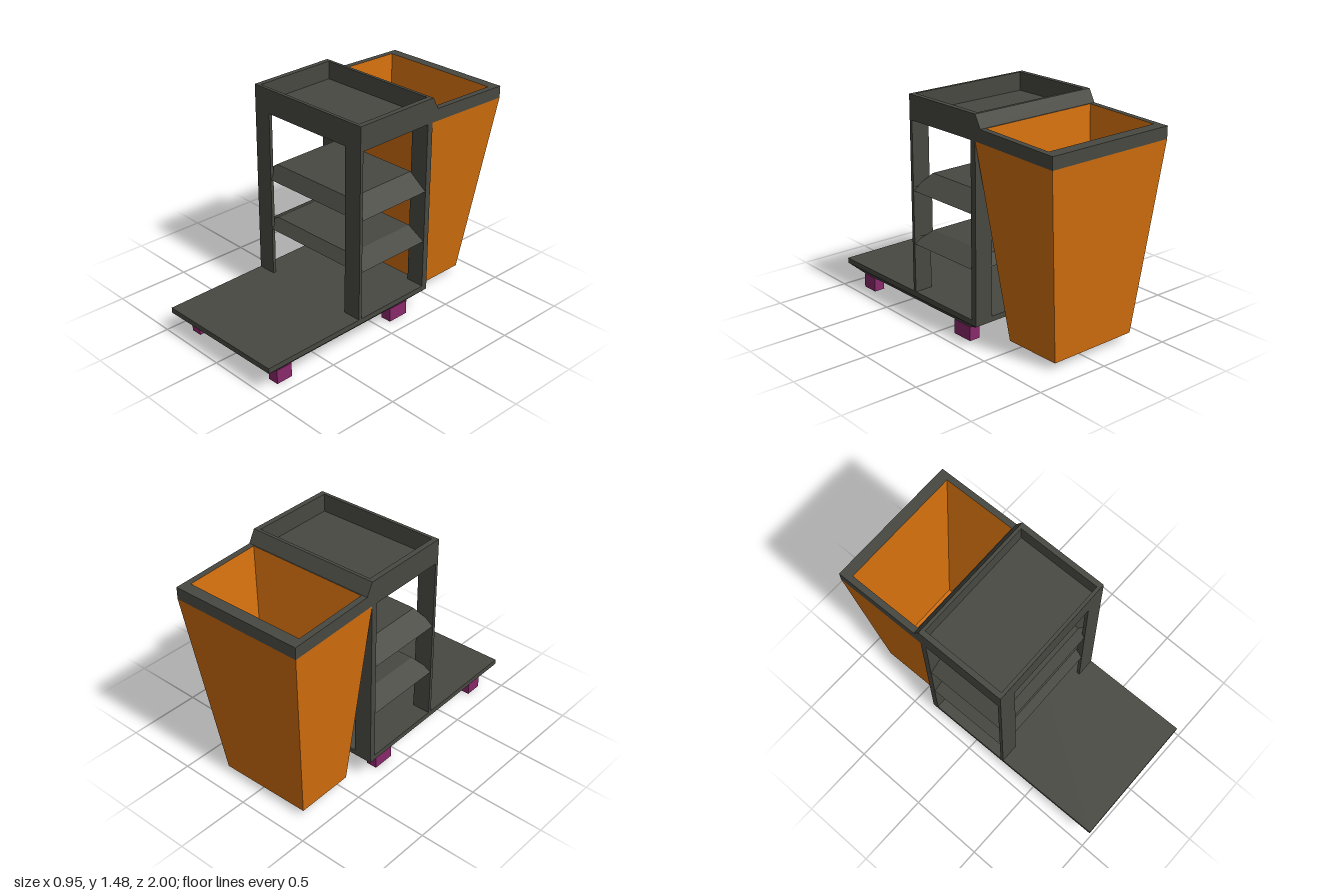
import * as THREE from 'three';

// Rectangular ring: x range, front z, back z, height at front and back
const ring = (x0, x1, zf, zb, yf, yb = yf) => [[x0, yf, zf], [x1, yf, zf], [x1, yb, zb], [x0, yb, zb]];

// Joins successive rings with flat walls, with optional end caps
function loft(rings, capStart = true, capEnd = true) {
  const pos = [];
  const quad = (a, b, c, d) => [a, b, c, a, c, d].forEach(p => pos.push(...p));
  for (let r = 0; r < rings.length - 1; r++) {
    const lo = rings[r], hi = rings[r + 1];
    for (let i = 0; i < 4; i++) {
      const j = (i + 1) % 4;
      quad(lo[i], lo[j], hi[j], hi[i]);
    }
  }
  if (capStart) quad(...rings[0].slice().reverse());
  if (capEnd) quad(...rings[rings.length - 1]);
  const g = new THREE.BufferGeometry();
  g.setAttribute('position', new THREE.Float32BufferAttribute(pos, 3));
  g.computeVertexNormals();
  return g;
}

export function createModel() {
  const mat = (name, color) => {
    const m = new THREE.MeshStandardMaterial({ color });
    m.name = name;
    return m;
  };
  const grey = mat('charcoal plastic', 0x484842);
  const orange = mat('orange bag', 0xd4700e);
  const purple = mat('purple wheels', 0x88286a);

  const group = new THREE.Group();
  group.name = 'cleaningCart';
  const add = (name, geometry, material) => {
    const m = new THREE.Mesh(geometry, material);
    m.name = name;
    group.add(m);
  };
  const block = (name, x0, x1, y0, y1, zf, zb, material) =>
    add(name, loft([ring(x0, x1, zf, zb, y0), ring(x0, x1, zf, zb, y1)]), material);

  const W = 0.455, FRONT = 0.257, BACK = -0.355;

  // Base platform with a chamfered underside
  add('basePlatform', loft([
    ring(-0.395, 0.395, 0.88, -0.235, 0.095),
    ring(-W, W, 0.99, BACK, 0.155),
    ring(-W, W, 0.99, BACK, 0.19),
  ]), grey);

  // Wheels and tower posts, mirrored left and right
  for (const s of [-1, 1]) {
    const span = (a, b) => [Math.min(s * a, s * b), Math.max(s * a, s * b)];
    block('frontWheel', ...span(0.325, 0.4), 0, 0.095, 0.88, 0.765, purple);
    block('rearWheel', ...span(0.325, 0.4), 0, 0.095, -0.08, -0.23, purple);
    block('frontPost', ...span(0.33, W), 0.19, 1.315, FRONT, 0.235, grey);
    block('rearPost', ...span(0.33, W), 0.19, 1.315, -0.314, BACK, grey);
  }

  // Small gusset behind one front post, between the shelves
  const wedge = y => [[0.33, y, 0.236], [W, y, 0.236], [W, y, 0.235], [0.33, y, 0.212]];
  add('postGusset', loft([wedge(0.56), wedge(0.89)]), grey);

  // Shelves with sloping edges
  for (const [y0, y1] of [[0.515, 0.585], [0.865, 0.96]]) {
    add('shelf', loft([
      ring(-0.453, 0.453, 0.255, -0.353, y0),
      ring(-0.325, 0.325, 0.207, -0.315, y1),
    ]), grey);
  }

  // Recessed top tray
  add('topTray', loft([
    ring(-W, W, FRONT, BACK, 1.315),
    ring(-W, W, FRONT, BACK, 1.475),
    ring(-0.42, 0.42, 0.235, -0.335, 1.475),
    ring(-0.42, 0.42, 0.235, -0.335, 1.355),
  ]), grey);

  // Sloped bridge between the tray and the bag rim
  add('rimBridge', loft([
    ring(-W, W, BACK, -0.4, 1.395),
    ring(-W, W, BACK, BACK - 0.001, 1.475),
  ]), grey);

  // Bag: tilted rim, tapered outside and inside
  const outerLow = ring(-W, W, BACK, -0.99, 1.315, 1.295);
  const innerTop = ring(-0.415, 0.415, -0.405, -0.917, 1.394, 1.377);
  add('bagOutside', loft([ring(-0.35, 0.28, -0.463, -0.857, 0.05), outerLow], true, false), orange);
  add('bagRim', loft([outerLow, ring(-W, W, BACK, -0.99, 1.396, 1.374), innerTop], false, false), grey);
  add('bagInside', loft([innerTop, ring(-0.325, 0.258, -0.521, -0.852, 0.08)], false, true), orange);

  // The whole cart stands slightly turned
  group.rotation.y = 0.0187;
  const root = new THREE.Group();
  root.name = 'cart';
  root.add(group);
  return root;
}
